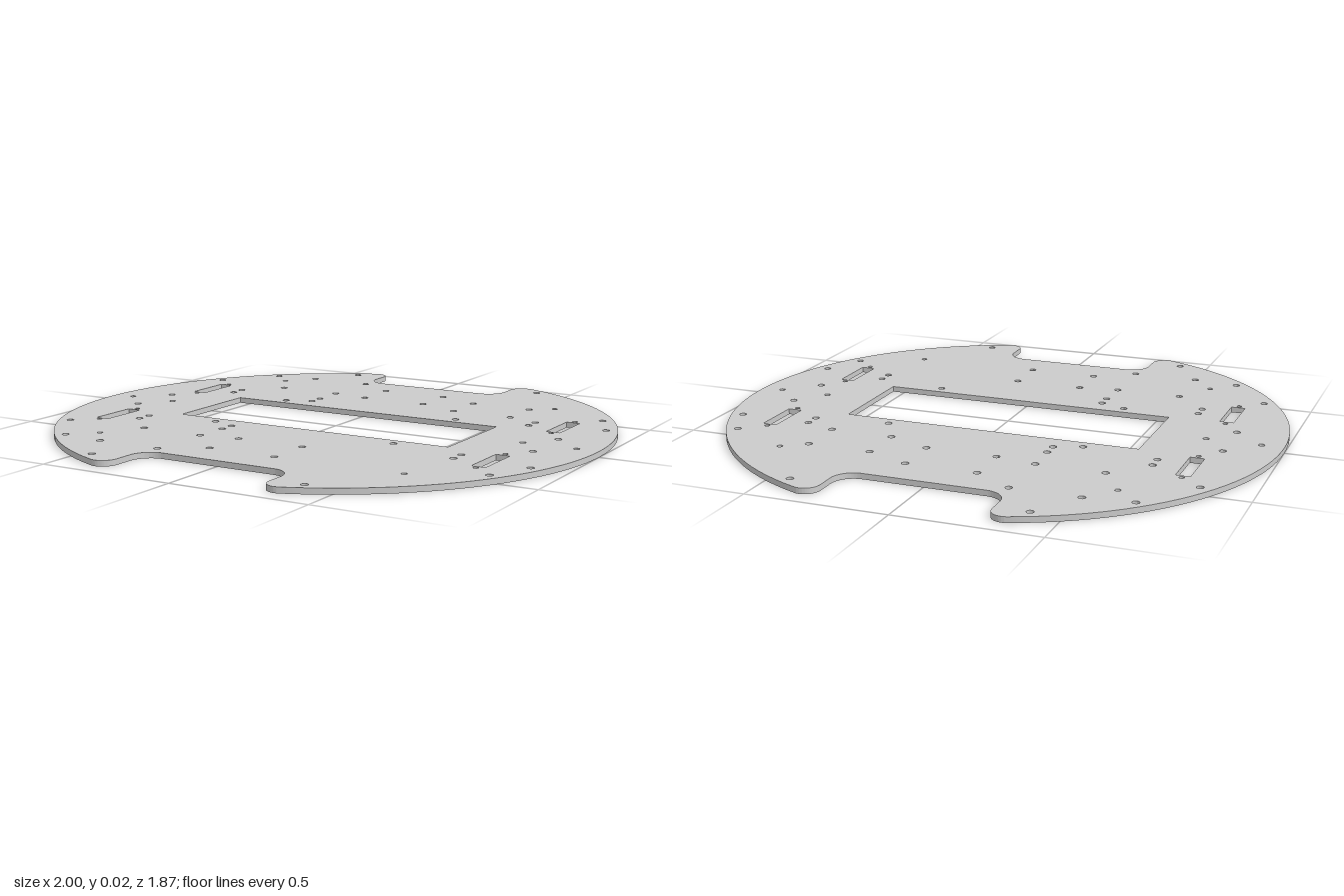
import * as THREE from 'three';
import { toCreasedNormals } from 'three/addons/utils/BufferGeometryUtils.js';

const THICK = 0.02;

// Round disc with a filleted notch at the front and back
function outline() {
  const nx = 0.29, nz = 0.745, ear = 0.05, fil = 0.075;
  const ex = nx + ear, ez = Math.sqrt((1 - ear) ** 2 - ex * ex);
  const a = Math.atan2(ez, ex), P = Math.PI;
  const s = new THREE.Shape();
  s.absarc(0, 0, 1, -a, a, false);
  s.absarc(ex, ez, ear, a, P, false);
  s.absarc(nx - fil, nz + fil, fil, 0, -P / 2, true);
  s.absarc(-nx + fil, nz + fil, fil, -P / 2, -P, true);
  s.absarc(-ex, ez, ear, 0, P - a, false);
  s.absarc(0, 0, 1, P - a, P + a, false);
  s.absarc(-ex, -ez, ear, P + a, 2 * P, false);
  s.absarc(-nx + fil, -nz - fil, fil, P, P / 2, true);
  s.absarc(nx - fil, -nz - fil, fil, P / 2, 0, true);
  s.absarc(ex, -ez, ear, P, 2 * P - a, false);
  s.closePath();
  return s;
}

function rectHole(cx, cz, w, d) {
  const x = w / 2, z = d / 2;
  return new THREE.Path([[-x, -z], [-x, z], [x, z], [x, -z]]
    .map(([u, v]) => new THREE.Vector2(cx + u, cz + v)));
}

function roundHole(x, z, r) {
  const p = new THREE.Path();
  p.absarc(x, z, r, 0, Math.PI * 2, true);
  return p;
}

export function createModel() {
  const group = new THREE.Group();
  group.name = 'chassisPlate';
  const shape = outline();

  // Central window and four wheel-side slots
  shape.holes.push(rectHole(0, 0, 1.09, 0.38));
  for (const sx of [-1, 1]) for (const sz of [-1, 1]) {
    shape.holes.push(rectHole(sx * 0.752, sz * 0.302, 0.05, 0.185));
  }

  const drill = (x, z, r = 0.0125) => shape.holes.push(roundHole(x, z, r));

  // Holes mirrored left/right and front/back
  const four = [
    [0.407, 0.87], [0.83, 0.48], [0.633, 0.33], [0.633, 0.272], [0.363, 0.235],
    [0.127, 0.605], [0.127, 0.435], [0.813, 0.108],
    [0.597, 0.597, 0.01], [0.752, 0.412, 0.009], [0.752, 0.19, 0.009],
  ];
  for (const [x, z, r] of four) {
    for (const sx of [-1, 1]) for (const sz of [-1, 1]) drill(sx * x, sz * z, r);
  }

  // Holes mirrored front/back only
  const two = [
    [-0.68, 0.68], [-0.513, 0.698], [-0.272, 0.698], [-0.513, 0.457], [-0.272, 0.457],
    [-0.268, 0.33], [-0.268, 0.272], [0.9, 0.328],
  ];
  for (const [x, z] of two) for (const sz of [-1, 1]) drill(x, sz * z);

  // Four-hole mounting pattern at the back, and holes on the centre line
  for (const x of [0.288, 0.518]) for (const z of [-0.54, -0.37]) drill(x, z);
  for (const x of [-0.922, -0.73, 0.73, 0.922]) drill(x, 0, 0.011);

  // Flat plate lying on the ground
  let geo = new THREE.ExtrudeGeometry(shape, { depth: THICK, bevelEnabled: false, curveSegments: 24 });
  geo.rotateX(Math.PI / 2);
  geo.translate(0, THICK, 0);
  geo = toCreasedNormals(geo, Math.PI / 6);

  const plate = new THREE.Mesh(geo, new THREE.MeshStandardMaterial({ color: 0xcccccc }));
  plate.name = 'plate';
  group.add(plate);
  return group;
}
